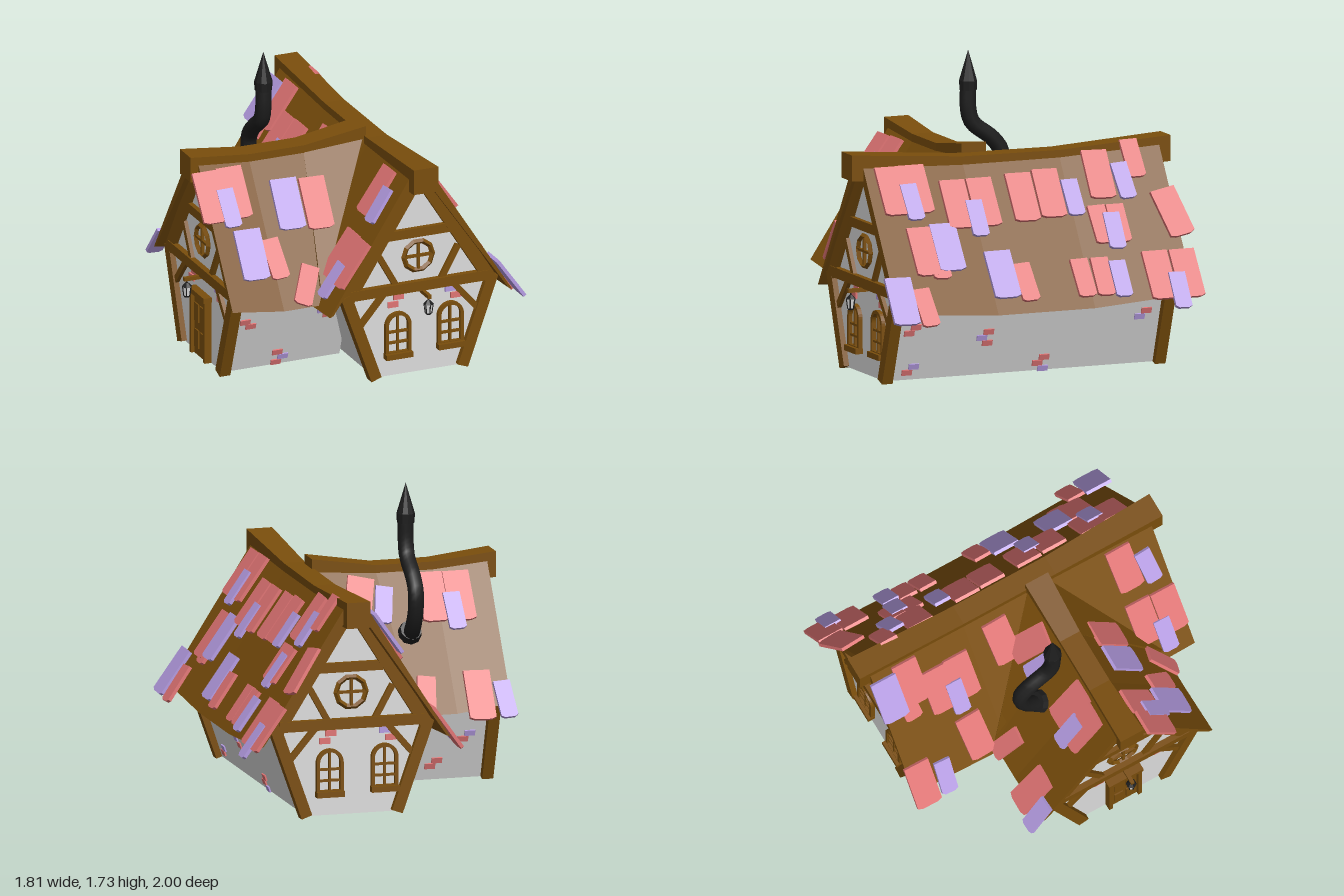
import * as THREE from 'three';

const mat = (name, color, side = THREE.FrontSide) => {
  const m = new THREE.MeshStandardMaterial({ color, side });
  m.name = name;
  return m;
};

export function createModel() {
  const wood = mat('brown wood', 0x7a4e0c, THREE.DoubleSide);
  const plaster = mat('pale plaster', 0xdcdcdc, THREE.DoubleSide);
  const red = mat('red clay', 0xe07474);
  const purple = mat('purple clay', 0xb59ce2);
  const iron = mat('black iron', 0x1d1d1d);
  const model = new THREE.Group();
  model.name = 'cottage';

  const flat = (g) => {
    const f = g.index ? g.toNonIndexed() : g;
    f.computeVertexNormals();
    return f;
  };
  const add = (parent, name, geo, material, x = 0, y = 0, z = 0) => {
    const m = new THREE.Mesh(geo, material);
    m.name = name;
    m.position.set(x, y, z);
    parent.add(m);
    return m;
  };
  const box = (parent, name, material, w, h, d, x, y, z) =>
    add(parent, name, new THREE.BoxGeometry(w, h, d), material, x, y, z);

  // Solid through matching convex cross-sections, counter-clockwise seen from +z
  const loft = (rows) => {
    const pos = [], n = rows[0].length, last = rows[rows.length - 1];
    const tri = (a, b, c) => pos.push(...a, ...b, ...c);
    for (let r = 0; r < rows.length - 1; r++) for (let i = 0; i < n; i++) {
      const a = rows[r], b = rows[r + 1], j = (i + 1) % n;
      tri(a[i], a[j], b[j]);
      tri(a[i], b[j], b[i]);
    }
    for (let i = 1; i < n - 1; i++) {
      tri(rows[0][0], rows[0][i + 1], rows[0][i]);
      tri(last[0], last[i], last[i + 1]);
    }
    const g = new THREE.BufferGeometry();
    g.setAttribute('position', new THREE.Float32BufferAttribute(pos, 3));
    return flat(g);
  };

  // Straight timber between two points of a gable
  const timber = (parent, name, a, b, width, depth, z = 0) => {
    const dx = b[0] - a[0], dy = b[1] - a[1];
    const m = box(parent, name, wood, width, Math.hypot(dx, dy), depth, (a[0] + b[0]) / 2, (a[1] + b[1]) / 2, z);
    m.rotation.z = -Math.atan2(dx, dy);
  };

  const archPath = (path, w, y0, y1) => {
    path.moveTo(-w, y0);
    path.lineTo(w, y0);
    path.lineTo(w, y1);
    path.absarc(0, y1, w, 0, Math.PI, false);
    path.lineTo(-w, y0);
    return path;
  };
  const archWindow = (parent, x, y) => {
    const g = new THREE.Group();
    g.name = 'archedWindow';
    g.position.set(x, y, 0);
    parent.add(g);
    const frame = archPath(new THREE.Shape(), 0.08, 0, 0.17);
    frame.holes.push(archPath(new THREE.Path(), 0.06, 0.01, 0.17));
    add(g, 'windowFrame', new THREE.ExtrudeGeometry(frame, { depth: 0.025, bevelEnabled: false, curveSegments: 8 }), wood);
    box(g, 'mullion', wood, 0.013, 0.24, 0.018, 0, 0.12, 0.009);
    for (const h of [0.065, 0.13]) box(g, 'glazingBar', wood, 0.13, 0.013, 0.018, 0, h, 0.009);
    box(g, 'windowSill', wood, 0.165, 0.033, 0.05, 0, -0.012, 0.02);
  };

  const lantern = (parent, x) => {
    const g = new THREE.Group();
    g.name = 'lantern';
    g.position.set(x, 0, 0.105);
    parent.add(g);
    box(g, 'lanternBracket', wood, 0.022, 0.022, 0.13, 0, 0.492, -0.045);
    add(g, 'lanternGlass', flat(new THREE.CylinderGeometry(0.026, 0.018, 0.055, 6)), plaster, 0, 0.418, 0);
    add(g, 'lanternCap', flat(new THREE.CylinderGeometry(0.008, 0.031, 0.024, 6)), iron, 0, 0.457, 0);
    add(g, 'lanternHook', new THREE.CylinderGeometry(0.004, 0.004, 0.03, 6), iron, 0, 0.475, 0);
    add(g, 'lanternBase', flat(new THREE.CylinderGeometry(0.02, 0.016, 0.01, 6)), iron, 0, 0.387, 0);
    for (let i = 0; i < 6; i++) {
      const a = i * Math.PI / 3;
      const bar = box(g, 'lanternBar', iron, 0.005, 0.057, 0.005, 0.0225 * Math.sin(a), 0.418, 0.0225 * Math.cos(a));
      bar.rotation.set(0.14 * Math.cos(a), 0, -0.14 * Math.sin(a));
    }
  };

  // Timbered end wall; local +z points outward
  const gable = (name, x, z, turn) => {
    const g = new THREE.Group();
    g.name = name;
    g.position.set(x, 0, z);
    g.rotation.y = turn;
    model.add(g);
    const outline = [[-0.265, 0], [0.265, 0], [0.45, 0.55], [0.03, 1.2], [-0.03, 1.2], [-0.45, 0.55]];
    add(g, 'gableWall', new THREE.ShapeGeometry(new THREE.Shape(outline.map((p) => new THREE.Vector2(...p)))), plaster);
    for (const s of [-1, 1]) {
      timber(g, 'cornerPost', [s * 0.268, 0], [s * 0.455, 0.53], 0.066, 0.066);
      timber(g, 'rafter', [s * 0.45, 0.49], [s * 0.01, 1.19], 0.075, 0.06);
      timber(g, 'upperBrace', [s * 0.14, 0.55], [s * 0.245, 0.74], 0.035, 0.03, 0.008);
      timber(g, 'lowerBrace', [s * 0.215, 0.51], [s * 0.36, 0.34], 0.035, 0.03, 0.008);
      // A pair of bare bricks under the tie beam
      for (const k of [0, 1]) {
        box(g, 'brick', s > 0 && !k ? purple : red, 0.065, 0.034, 0.018, 0.04 + s * 0.16 + s * k * 0.035, 0.476 - k * 0.044, 0.002);
      }
    }
    box(g, 'tieBeam', wood, 0.86, 0.06, 0.06, 0, 0.53, 0.005);
    box(g, 'collarBeam', wood, 0.44, 0.055, 0.05, 0, 0.857, 0.003);
    add(g, 'roundWindow', flat(new THREE.TorusGeometry(0.089, 0.016, 4, 10)), wood, 0, 0.71, 0.008);
    box(g, 'roundWindowBar', wood, 0.015, 0.17, 0.018, 0, 0.71, 0.009);
    box(g, 'roundWindowBar', wood, 0.17, 0.015, 0.018, 0, 0.71, 0.009);
    return g;
  };
  const front = gable('frontGable', 0.248, 0.875, 0);
  const back = gable('backGable', 0.248, -0.82, Math.PI);
  for (const g of [front, back]) {
    archWindow(g, -0.128, 0.137);
    archWindow(g, 0.197, 0.15);
  }
  lantern(front, 0.022);

  // Wing gable with door
  const wingGable = gable('wingGable', -0.775, 0.185, -Math.PI / 2);
  lantern(wingGable, 0);
  box(wingGable, 'door', wood, 0.17, 0.36, 0.03, 0, 0.18, 0.008);
  for (const s of [-1, 1]) {
    box(wingGable, 'doorPost', wood, 0.025, 0.38, 0.06, s * 0.095, 0.19, 0.012);
    for (const y of [0.1, 0.26]) box(wingGable, 'doorPanel', wood, 0.055, 0.11, 0.015, s * 0.038, y, 0.023);
  }
  box(wingGable, 'doorLintel', wood, 0.225, 0.03, 0.07, 0, 0.385, 0.015);

  // Shingle kinds: material, width, rise, lift off the roof
  const kinds = {
    largeRed: [red, 0.155, 0.255, 0.008], smallRed: [red, 0.107, 0.2, 0.012],
    largePurple: [purple, 0.16, 0.25, 0.016], smallPurple: [purple, 0.1, 0.19, 0.022],
  };

  // Walls, sagging roof and ridge beam; the ridge runs along local z
  const body = (name, o) => {
    const g = new THREE.Group();
    g.name = name;
    g.position.set(...o.position);
    g.rotation.y = o.turn;
    model.add(g);
    const [t0, t1, t2, t3] = o.stations, tilt = Math.atan(o.slope), lean = Math.atan(0.336);
    const drop = (t) => 0.043 * THREE.MathUtils.clamp(Math.min((t - t0) / (t1 - t0), (t3 - t) / (t3 - t2)), 0, 1);
    for (const s of [-1, 1]) {
      const wall = new THREE.PlaneGeometry(o.walls[1] - o.walls[0], 0.55 / Math.cos(lean));
      wall.rotateY(s * Math.PI / 2);
      add(g, 'sideWall', wall, plaster, s * 0.3575, 0.275, (o.walls[0] + o.walls[1]) / 2).rotation.z = -s * lean;
      const rows = o.stations.map((t) => {
        const section = [[o.eave - 0.022, -0.025], [o.eave, 0], [0.05, 0], [0.02, -0.09]].map(([x, k]) =>
          [s * x, o.apex - drop(t) - o.slope * x + k, Math.min(t, o.valley - x)]);
        return s > 0 ? section : section.reverse();
      });
      add(g, 'roofSlope', loft(rows), wood);
      const side = s > 0 ? o.plus : o.minus;
      // Staggered patches of bare brick: position along the wall and height
      side.bricks.forEach(([t, y], i) => {
        for (let k = 0; k < 2 + i % 2; k++) {
          const by = y - 0.034 * k;
          box(g, 'brick', (i + k) % 3 === 2 ? purple : red, 0.018, 0.034, 0.062,
            s * (0.265 + 0.336 * by), by, t + 0.038 * (k % 2)).rotation.z = -s * lean;
        }
      });
      // Loose shingles: position along the ridge, height, optional twist
      const v = new THREE.Vector3(-s * Math.cos(tilt), Math.sin(tilt), 0);
      const n = new THREE.Vector3(s * Math.sin(tilt), Math.cos(tilt), 0);
      const basis = new THREE.Matrix4().makeBasis(v.clone().cross(n), v, n);
      for (const [kind, [material, width, rise, lift]] of Object.entries(kinds)) {
        const h = rise / Math.sin(tilt) / 2, w = width / 2;
        const shape = new THREE.Shape([[-w, -h + 0.012], [-w * 0.6, -h], [w * 0.6, -h], [w, -h + 0.012], [w, h], [-w, h]]
          .map((p) => new THREE.Vector2(...p)));
        const geo = new THREE.ExtrudeGeometry(shape, { depth: 0.02, bevelEnabled: false });
        for (const [t, y, twist = 0.03 * Math.sin(40 * t)] of side[kind]) {
          const m = add(g, 'shingle', geo, material, s * (o.apex - drop(t) - y) / o.slope, y, t);
          m.position.addScaledVector(n, lift);
          m.quaternion.setFromRotationMatrix(basis);
          m.rotateZ(twist);
          m.rotateX(-0.05);
        }
      }
    }
    add(g, 'ridgeBeam', loft(o.ridge.map(([t, y, w]) =>
      [[-w, y - 0.15, t], [w, y - 0.15, t], [w, y, t], [-w, y, t]])), wood);
  };

  body('mainHouse', {
    position: [0.248, 0, 0], turn: 0, walls: [-0.82, 0.875], valley: 9,
    apex: 1.317, slope: 1.57, eave: 0.565, stations: [-0.915, -0.3, 0.3, 0.925],
    ridge: [[-0.985, 1.26, 0.07], [-0.3, 1.22, 0.062], [0.3, 1.225, 0.062], [0.995, 1.28, 0.076]],
    plus: {
      bricks: [[0.73, 0.32], [0.27, 0.26], [0.71, 0.08], [-0.1, 0.08], [-0.7, 0.32]],
      largeRed: [[0.785, 1.064, 0], [0.635, 1.064, 0], [0.405, 0.97], [0.236, 0.97], [-0.008, 0.98], [-0.175, 0.99],
        [-0.5, 1.07], [-0.89, 0.85, 0.2], [-0.725, 0.53, 0], [-0.89, 0.53, 0], [0.675, 0.74, 0]],
      smallRed: [[-0.725, 1.14], [-0.44, 0.81], [-0.55, 0.81], [0.6, 0.69], [0.095, 0.54, 0.06], [-0.26, 0.54],
        [-0.38, 0.54], [0.75, 0.45, 0.07]],
      largePurple: [[0.23, 0.587], [0.89, 0.49], [0.53, 0.75, 0]],
      smallPurple: [[0.685, 0.995], [0.305, 0.885], [-0.308, 0.955], [-0.635, 1.025, 0.06], [-0.51, 0.77],
        [-0.48, 0.52], [-0.82, 0.44]],
    },
    minus: {
      bricks: [[-0.6, 0.31], [-0.42, 0.12], [0.8, 0.3]],
      largeRed: [[-0.85, 0.47], [-0.46, 0.565, 0.05], [-0.57, 0.93, 0], [-0.415, 0.93, 0], [-0.125, 1.0, 0.04],
        [0.69, 0.7, 0], [0.85, 0.7, 0], [0.69, 1.05], [-0.71, 1.06, 0]],
      smallRed: [[-0.77, 0.96, 0.08]],
      largePurple: [[-0.86, 1.04, 0]],
      smallPurple: [[-0.71, 0.45, -0.06], [-0.48, 0.84], [0.82, 1.01, 0.08], [0.78, 0.58]],
    },
  });

  body('sideWing', {
    position: [0, 0, 0.185], turn: Math.PI / 2, walls: [-0.775, -0.05], valley: 0.27,
    apex: 1.315, slope: 1.505, eave: 0.555, stations: [-0.84, -0.52, -0.18, 0.2],
    ridge: [[-0.89, 1.26, 0.075], [-0.52, 1.22, 0.065], [-0.18, 1.22, 0.065], [0.2, 1.28, 0.075]],
    plus: {
      bricks: [[-0.47, 0.12], [-0.3, 0.3], [-0.65, 0.28]],
      largeRed: [[-0.66, 0.52], [-0.64, 1.03, 0], [-0.485, 1.03, 0], [-0.045, 1.03, -0.25]],
      smallRed: [[-0.35, 0.53, -0.15]],
      largePurple: [],
      smallPurple: [[-0.8, 0.49, 0.06], [-0.595, 0.95], [-0.185, 1.0, -0.2]],
    },
    minus: {
      bricks: [[-0.685, 0.334], [-0.45, 0.086], [-0.206, 0.334]],
      largeRed: [[-0.82, 1.04, 0], [-0.667, 1.04, 0], [-0.185, 0.925]],
      smallRed: [[-0.51, 0.69, 0.08], [-0.36, 0.54, -0.45]],
      largePurple: [[-0.36, 0.94], [-0.65, 0.73]],
      smallPurple: [[-0.725, 0.97]],
    },
  });

  // Crooked stovepipe
  const stove = new THREE.Group();
  stove.name = 'stovepipe';
  stove.position.x = -0.32;
  model.add(stove);
  const pipe = new THREE.CatmullRomCurve3([[0.82, -0.07], [0.9, -0.15], [1.0, -0.205], [1.12, -0.215], [1.2, -0.16],
    [1.3, -0.035], [1.38, -0.01], [1.51, -0.01]].map(([y, z]) => new THREE.Vector3(0, y, z)));
  add(stove, 'pipe', new THREE.TubeGeometry(pipe, 24, 0.047, 10), iron);
  const collar = add(stove, 'pipeCollar', flat(new THREE.CylinderGeometry(0.062, 0.072, 0.05, 10)), iron, 0, 0.87, -0.1);
  collar.rotation.x = -0.9;
  add(stove, 'pipeRim', flat(new THREE.CylinderGeometry(0.053, 0.05, 0.055, 10)), iron, 0, 1.515, -0.01);
  add(stove, 'pipeCone', flat(new THREE.ConeGeometry(0.053, 0.18, 10)), iron, 0, 1.63, -0.01);
  return model;
}
